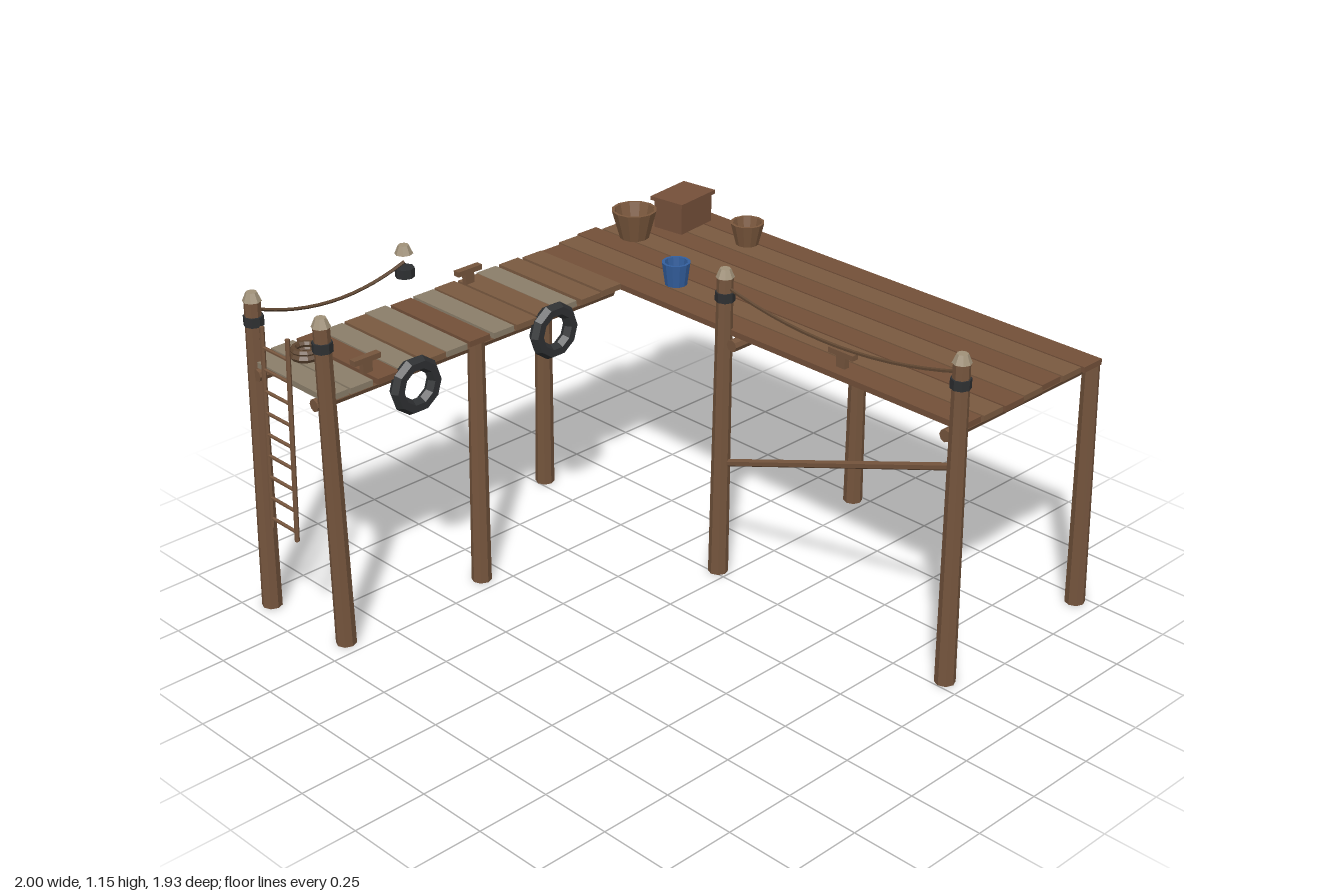
import * as THREE from 'three';

const mat = (name, color, opts = {}) => {
  const m = new THREE.MeshStandardMaterial({ color, flatShading: true, ...opts });
  m.name = name;
  return m;
};

export function createModel() {
  const M = {
    post: mat('post wood', 0x75553d),
    plankA: mat('plank brown', 0x735039),
    plankB: mat('plank tan', 0x7a5a40),
    grey: mat('weathered plank', 0x8b7e6a),
    cap: mat('post cap', 0xa09179),
    rubber: mat('black rubber', 0x2e3032),
    rope: mat('rope', 0x5f4631),
    blue: mat('bucket blue', 0x335f9e, { side: THREE.DoubleSide }),
    basket: mat('basket', 0x7b583d, { side: THREE.DoubleSide }),
    crate: mat('crate wood', 0x75503a),
  };
  const model = new THREE.Group();
  model.name = 'dock';
  const V = (x, y, z) => new THREE.Vector3(x, y, z);

  const add = (name, geo, material, x = 0, y = 0, z = 0, parent = model) => {
    const m = new THREE.Mesh(geo, material);
    m.name = name;
    m.position.set(x, y, z);
    parent.add(m);
    return m;
  };
  // Round pole between two points
  const pole = (name, a, b, r0, r1, material = M.post, sides = 8) => {
    const g = new THREE.CylinderGeometry(r1, r0, a.distanceTo(b), sides);
    const m = add(name, g, material);
    m.position.copy(a).add(b).multiplyScalar(0.5);
    m.quaternion.setFromUnitVectors(V(0, 1, 0), b.clone().sub(a).normalize());
    return m;
  };
  const DECK = 0.893, THICK = 0.02;

  // Main platform: long planks, [back end, front end]
  [[-0.93, 0.93], [-0.945, 0.936], [-0.957, 0.94], [-0.93, 0.936],
    [-0.93, 0.93], [-0.96, 0.936], [-0.95, 0.945]].forEach(([z0, z1], i) => {
    add('longPlank', new THREE.BoxGeometry(0.09, THICK, z1 - z0), i % 2 ? M.plankB : M.plankA,
      0.337 + i * 0.0967, DECK - THICK / 2, (z0 + z1) / 2);
  });

  // Walkway: cross planks, some weathered
  const weathered = [0, 1, 3, 5, 7, 10];
  const shift = [0.0, -0.005, 0.006, 0, 0.004, -0.008, 0, 0.004, 0.003, 0.005, -0.008, 0.003, 0.008];
  shift.forEach((s, i) => {
    const material = weathered.includes(i) ? M.grey : i % 4 === 2 ? M.plankA : M.plankB;
    add('crossPlank', new THREE.BoxGeometry(0.085, THICK, 0.4 + (i % 3) * 0.008), material,
      -0.888 + i * 0.0946, DECK - THICK / 2 + s * 0.4, -0.737 + s);
  });

  // Beams under the decks
  const beam = (x0, x1, z) => pole('beam', V(x0, 0.85, z), V(x1, 0.85, z), 0.021, 0.021);
  beam(-0.94, 0.97, -0.885);
  beam(-0.94, 0.3, -0.59);
  beam(0.27, 0.97, 0.005);
  beam(0.27, 0.97, 0.885);

  // Cap and collar for a mooring post
  const postHead = (x, top, z) => {
    add('postCap', new THREE.CylinderGeometry(0.018, 0.031, 0.03, 8), M.cap, x, top - 0.015, z);
    add('postCollar', new THREE.CylinderGeometry(0.033, 0.033, 0.032, 8), M.rubber, x, top - 0.095, z);
  };
  // Tall posts: base x, base z, top x, top z, height
  [[-0.935, -0.92, -0.915, -0.91, 1.12], [-0.905, -0.562, -0.915, -0.557, 1.147],
    [0.268, -0.042, 0.29, -0.045, 1.1], [0.285, 0.932, 0.29, 0.917, 1.125]]
    .forEach(([bx, bz, tx, tz, h]) => {
      pole('tallPost', V(bx, 0, bz), V(tx, h - 0.03, tz), 0.034, 0.027);
      postHead(tx, h, tz);
    });
  postHead(-0.31, 1.096, -0.92);

  // Short legs
  [[-0.337, -0.56, -0.315, -0.565], [0.28, -0.93, 0.285, -0.915],
    [0.965, -0.052, 0.95, -0.04], [0.965, 0.925, 0.95, 0.915]].forEach(([bx, bz, tx, tz]) => {
    pole('shortLeg', V(bx, 0, bz), V(tx, DECK - THICK, tz), 0.034, 0.028);
  });

  // Diagonal brace
  pole('brace', V(0.285, 0.755, 0.92), V(0.285, 0.41, -0.03), 0.013, 0.013, M.post, 6);

  // Sagging ropes
  const rope = (a, b, dip) => {
    const mid = a.clone().add(b).multiplyScalar(0.5);
    mid.y = dip;
    add('rope', new THREE.TubeGeometry(new THREE.QuadraticBezierCurve3(a, mid, b), 14, 0.006, 5), M.rope);
  };
  rope(V(-0.915, 1.062, -0.918), V(-0.31, 1.035, -0.922), 0.93);
  rope(V(0.29, 1.065, 0.917), V(0.29, 1.04, -0.045), 0.92);

  // Ladder
  const ladderX = (y) => -0.99 + (y - 0.365) * 0.037;
  for (const z of [-0.665, -0.795])
    pole('ladderRail', V(ladderX(0.365), 0.365, z), V(ladderX(1.055), 1.055, z), 0.008, 0.008, M.post, 6);
  for (let i = 0; i < 9; i++) {
    const y = 0.397 + i * 0.0737;
    pole('ladderRung', V(ladderX(y), y, -0.665), V(ladderX(y), y, -0.795), 0.006, 0.006, M.post, 6);
  }

  // Tyre fenders
  for (const x of [-0.6, -0.022])
    add('tyre', new THREE.TorusGeometry(0.074, 0.025, 6, 10), M.rubber, x, 0.828, -0.521);

  // Mooring cleats
  const cleat = (x, z, turn) => {
    const g = new THREE.Group();
    g.name = 'cleat';
    g.position.set(x, DECK, z);
    g.rotation.y = turn;
    add('cleatStem', new THREE.BoxGeometry(0.036, 0.04, 0.02), M.post, 0, 0.02, 0, g);
    add('cleatBar', new THREE.BoxGeometry(0.102, 0.018, 0.025), M.post, 0, 0.048, 0, g);
    model.add(g);
  };
  cleat(-0.735, -0.59, 0);
  cleat(-0.065, -0.895, 0);
  cleat(0.34, 0.415, Math.PI / 2);

  // Rope coil
  [[0.042, 0.013, 0], [0.039, 0.011, 0.017]].forEach(([R, r, up]) => {
    const t = add('ropeCoil', new THREE.TorusGeometry(R, r, 6, 12), M.rope, -0.8, DECK + 0.012 + up, -0.81);
    t.rotation.x = -Math.PI / 2;
  });

  // Open vessels: outer wall, rim, inner wall and floor turned as one profile
  const vessel = (name, material, x, z, rTop, rBase, h) => {
    const pts = [[0.001, 0], [rBase, 0], [rTop, h], [rTop - 0.01, h], [rBase - 0.006, 0.012], [0.001, 0.012]];
    add(name, new THREE.LatheGeometry(pts.map((p) => new THREE.Vector2(...p)), 12), material, x, DECK, z);
  };
  vessel('bucket', M.blue, 0.427, -0.405, 0.049, 0.038, 0.08);
  vessel('largeBasket', M.basket, 0.613, -0.8, 0.08, 0.052, 0.102);
  vessel('smallBasket', M.basket, 0.848, -0.48, 0.06, 0.04, 0.08);

  // Crate with lid
  const crate = new THREE.Group();
  crate.name = 'crate';
  crate.position.set(0.817, DECK, -0.765);
  crate.rotation.y = 0.12;
  add('crateBody', new THREE.BoxGeometry(0.17, 0.102, 0.122), M.crate, 0, 0.051, 0, crate);
  add('crateLid', new THREE.BoxGeometry(0.188, 0.014, 0.14), M.crate, 0, 0.109, 0, crate);
  model.add(crate);

  return model;
}
